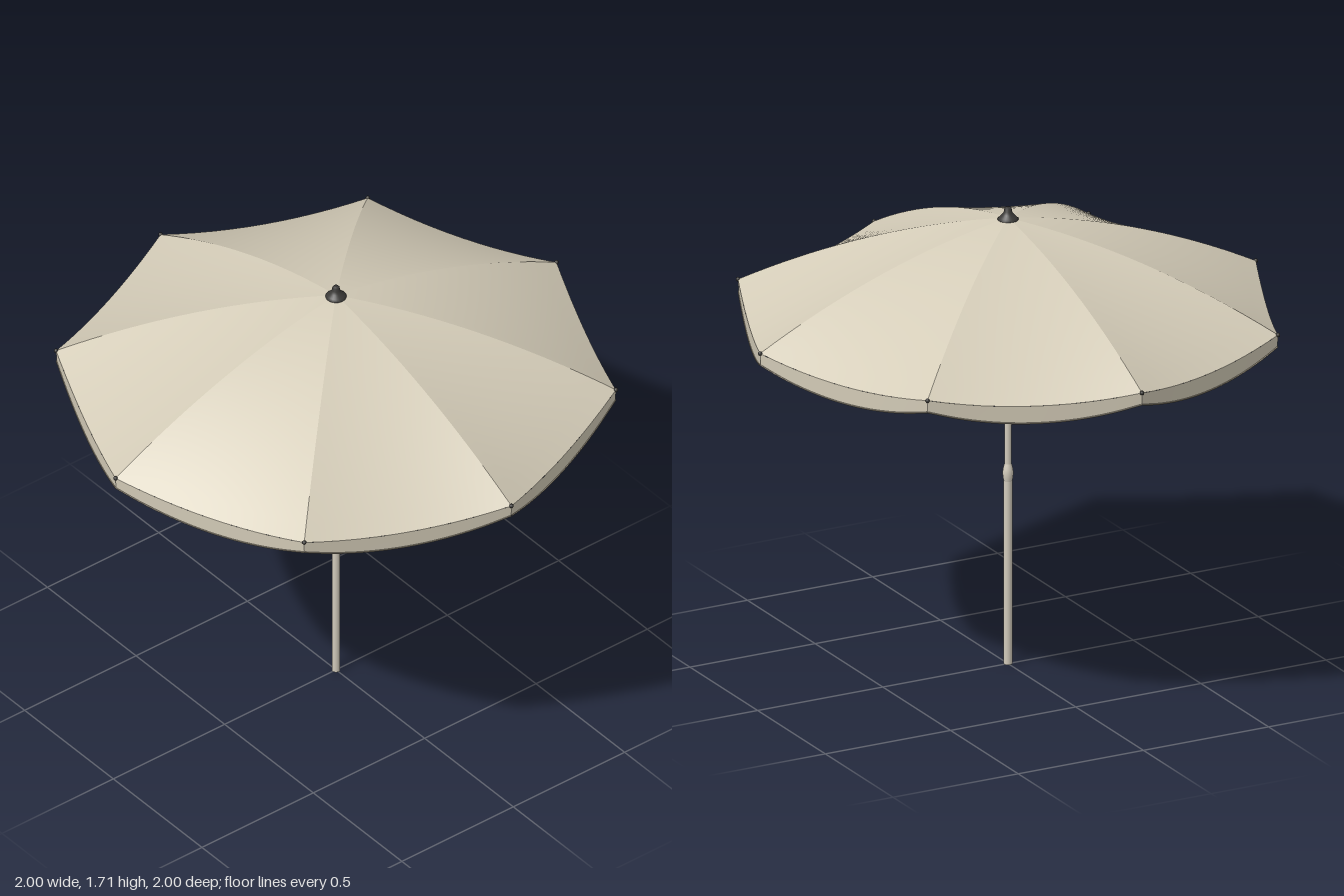
import * as THREE from 'three';

const SIDES = 8, R = 0.99, STEP = (Math.PI * 2) / SIDES;

// Height of the seam between two panels at distance r from the pole
const seamY = (r) => 1.67 - 0.148 * r - 0.192 * r * r;
const edgeY = seamY(R);
const bow = (s) => 4 * s * (1 - s);

// Point on the straight chord between two neighbouring corners
function chord(a, s, r) {
  const b = a + STEP;
  return [
    r * ((1 - s) * Math.sin(a) + s * Math.sin(b)),
    r * ((1 - s) * Math.cos(a) + s * Math.cos(b)),
  ];
}

// Point on the valance: v = 0 at the scalloped hem, v = 1 at the canopy edge
function valancePoint(a, u, v) {
  const [x, z] = chord(a, u, R - 0.002 * (1 - v));
  return [x, edgeY - 0.035 * bow(u) - (1 - v) * (0.045 + 0.02 * bow(u)), z];
}

// Grid bent by a rule that maps (u, v) to [x, y, z]
function surface(nu, nv, rule) {
  const geo = new THREE.PlaneGeometry(1, 1, nu, nv);
  const p = geo.attributes.position;
  for (let i = 0; i < p.count; i++) p.setXYZ(i, ...rule(p.getX(i) + 0.5, p.getY(i) + 0.5));
  geo.computeVertexNormals();
  return geo;
}

const lathe = (pts, n = 24) =>
  new THREE.LatheGeometry(pts.map(([x, y]) => new THREE.Vector2(x, y)), n);

export function createModel() {
  const model = new THREE.Group();
  model.name = 'parasol';

  const material = (name, color, side = THREE.FrontSide) => {
    const m = new THREE.MeshStandardMaterial({ color, side });
    m.name = name;
    return m;
  };
  const fabric = material('beige fabric', 0xd4ccb8, THREE.DoubleSide);
  const trim = material('hem piping', 0x9a917e);
  const poleMat = material('pale pole and frame', 0xd2cbbc);
  const dark = material('dark plastic', 0x3b3a38);

  const add = (name, geo, mat, parent = model) => {
    const mesh = new THREE.Mesh(geo, mat);
    mesh.name = name;
    parent.add(mesh);
    return mesh;
  };
  const group = (name) => {
    const g = new THREE.Group();
    g.name = name;
    model.add(g);
    return g;
  };

  // Canopy panels, each with a hanging scalloped valance and piped hem
  const canopy = group('canopy');
  for (let k = 0; k < SIDES; k++) {
    const a = k * STEP;
    add('canopyPanel', surface(12, 16, (u, v) => {
      const t = Math.max(1 - v, 0.004);
      const [x, z] = chord(a, u, R * t);
      return [x, seamY(R * t) - 0.035 * t * t * bow(u), z];
    }), fabric, canopy);
    add('valance', surface(16, 1, (u, v) => valancePoint(a, u, v)), fabric, canopy);

    const hem = [];
    for (let i = 0; i <= 8; i++) hem.push(new THREE.Vector3(...valancePoint(a, i / 8, 0)));
    add('hem', new THREE.TubeGeometry(new THREE.CatmullRomCurve3(hem), 24, 0.003, 6), trim, canopy);
  }

  // Ribs under the seams, struts from the runner, and tip caps
  const frame = group('frame');
  for (let k = 0; k < SIDES; k++) {
    const arm = new THREE.Group();
    arm.name = 'ribArm';
    arm.rotation.y = k * STEP;
    frame.add(arm);

    const pts = [0.02, 0.25, 0.5, 0.75, 0.985].map((r) => new THREE.Vector3(r, seamY(r) - 0.011, 0));
    add('rib', new THREE.TubeGeometry(new THREE.CatmullRomCurve3(pts), 20, 0.006, 8), poleMat, arm);

    const strut = new THREE.LineCurve3(
      new THREE.Vector3(0.025, 1.25, 0),
      new THREE.Vector3(0.47, seamY(0.47) - 0.014, 0));
    add('strut', new THREE.TubeGeometry(strut, 1, 0.004, 8), poleMat, arm);

    const tip = add('ribTip', new THREE.SphereGeometry(0.008, 10, 8), dark, arm);
    tip.position.set(0.99, edgeY, 0);
  }

  // Two-part pole with a softly swollen joint
  add('lowerPole', lathe([[0, 0], [0.015, 0], [0.015, 0.7]]), poleMat);
  add('poleJoint', lathe([[0.015, 0.685], [0.018, 0.7], [0.019, 0.715], [0.018, 0.73], [0.0125, 0.75]]), poleMat);
  add('upperPole', lathe([[0.0125, 0.72], [0.0125, 1.665]]), poleMat);

  // Sliding runner and finial
  add('runner', lathe([[0.012, 1.205], [0.028, 1.206], [0.033, 1.215], [0.036, 1.225],
    [0.036, 1.252], [0.03, 1.262], [0.012, 1.264]]), dark);
  add('finial', lathe([[0, 1.658], [0.036, 1.66], [0.037, 1.667], [0.031, 1.673],
    [0.02, 1.684], [0.014, 1.694], [0.013, 1.705], [0.009, 1.71], [0, 1.711]]), dark);

  return model;
}
